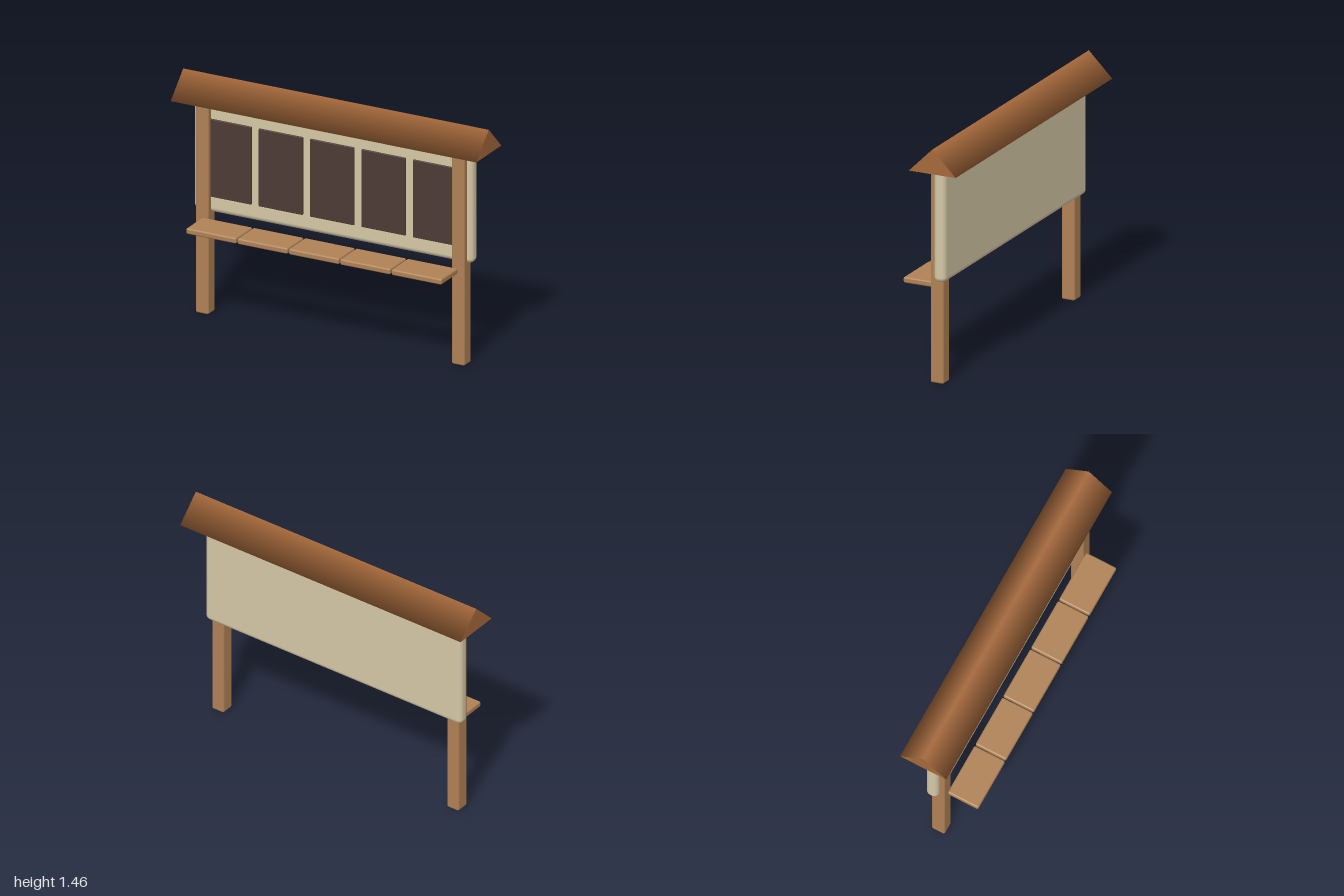
import * as THREE from 'three';
import { RoundedBoxGeometry } from 'three/addons/geometries/RoundedBoxGeometry.js';

function material(name, color) {
  const m = new THREE.MeshStandardMaterial({ color });
  m.name = name;
  return m;
}

export function createModel() {
  const roofWood = material('roof wood', 0xa5683a);
  const wood = material('light wood', 0xb08256);
  const cream = material('cream panel', 0xd6c8a6);
  const dark = material('dark board', 0x4d3b35);

  const group = new THREE.Group();
  group.name = 'noticeBoard';

  function add(name, geometry, mat, x, y, z) {
    const mesh = new THREE.Mesh(geometry, mat);
    mesh.name = name;
    mesh.position.set(x, y, z);
    group.add(mesh);
  }

  // Softly shaded three-sided gable roof, ridge along x
  const roof = new THREE.CylinderGeometry(1, 1, 2, 3);
  roof.rotateX(-Math.PI / 2).rotateY(Math.PI / 2).scale(1, 0.1, 0.174);
  add('roof', roof, roofWood, 0, 1.36, -0.06);

  // Posts
  const post = new RoundedBoxGeometry(0.085, 1.33, 0.085, 3, 0.012);
  add('leftPost', post, wood, 0.838, 0.665, -0.028);
  add('rightPost', post, wood, -0.838, 0.665, -0.028);

  // Rounded backing panel
  add('backPanel', new RoundedBoxGeometry(1.826, 0.69, 0.076, 5, 0.032), cream, 0, 0.967, -0.057);

  // Five pin boards above five shelf planks
  const board = new RoundedBoxGeometry(0.288, 0.48, 0.02, 2, 0.004);
  const plank = new RoundedBoxGeometry(0.328, 0.036, 0.2, 3, 0.01);
  for (let i = -2; i <= 2; i++) {
    add('pinBoard', board, dark, i * 0.336, 0.963, -0.02);
    add('shelfPlank', plank, wood, i * 0.336, 0.579, 0.11);
  }
  return group;
}
